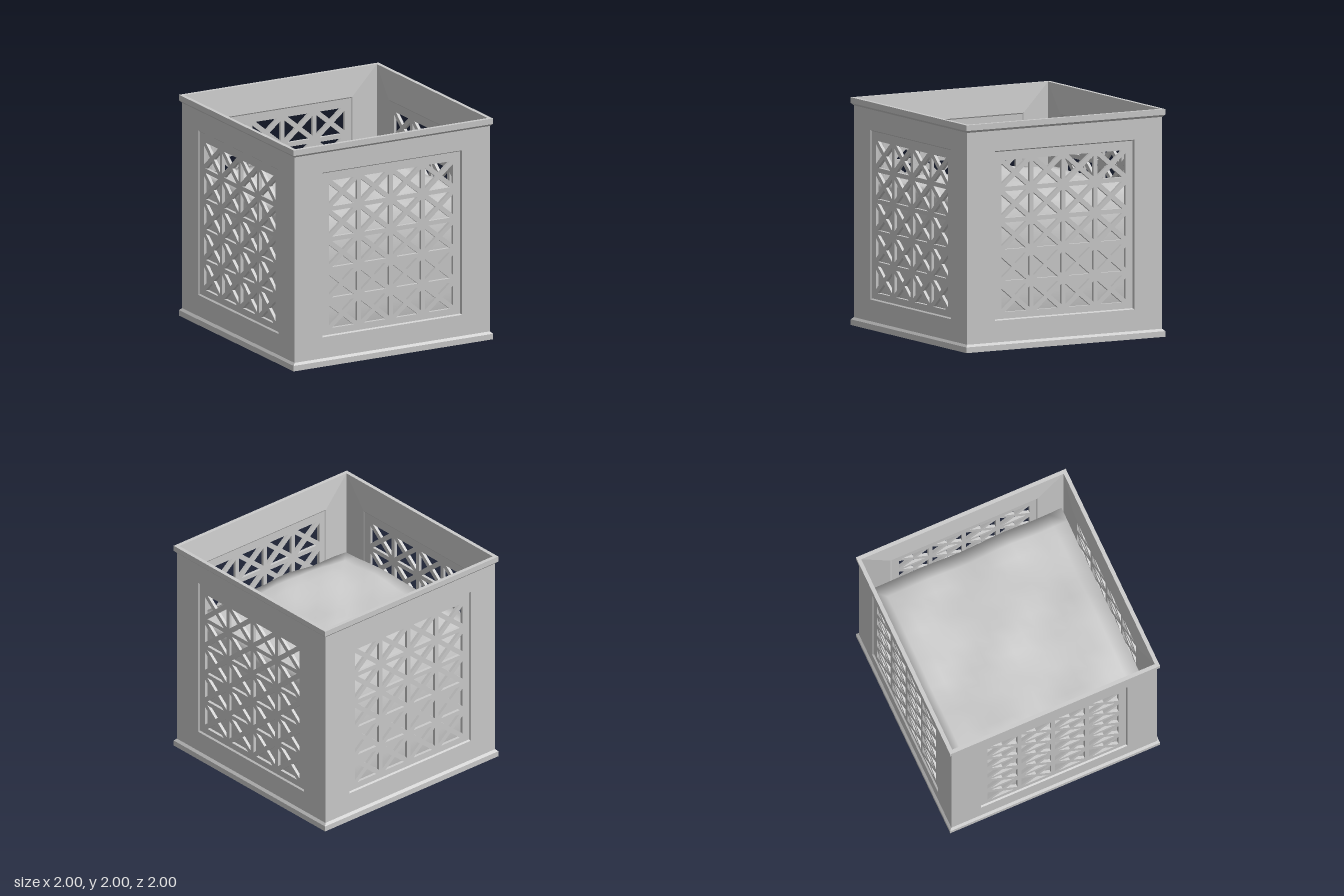
import * as THREE from 'three';
import { mergeVertices } from 'three/addons/utils/BufferGeometryUtils.js';

const material = new THREE.MeshStandardMaterial({ color: 0xcccccc, side: THREE.DoubleSide });

function addMesh(parent, name, geometry) {
  const mesh = new THREE.Mesh(geometry, material);
  mesh.name = name;
  parent.add(mesh);
  return mesh;
}

// Joins successive four-cornered rings with flat faces
function loftRings(rings, flip = false) {
  const positions = [];
  for (let r = 0; r < rings.length - 1; r++) {
    for (let i = 0; i < 4; i++) {
      const j = (i + 1) % 4;
      const a = rings[r][i], b = rings[r][j], c = rings[r + 1][j], d = rings[r + 1][i];
      const corners = flip ? [a, c, b, a, d, c] : [a, b, c, a, c, d];
      corners.forEach((p) => positions.push(...p));
    }
  }
  const geometry = new THREE.BufferGeometry();
  geometry.setAttribute('position', new THREE.Float32BufferAttribute(positions, 3));
  geometry.computeVertexNormals();
  return geometry;
}

// Horizontal square ring, and upright rectangular ring facing +z
const square = (h, y) => [[-h, y, h], [h, y, h], [h, y, -h], [-h, y, -h]];
const upright = (h, y0, y1, z) => [[-h, y0, z], [h, y0, z], [h, y1, z], [-h, y1, z]];

// Pierced panel: 4 x 5 cells, each with four triangles around a diagonal cross
function latticeGeometry() {
  const shape = new THREE.Shape([[-0.7, 0.26], [0.7, 0.26], [0.7, 1.75], [-0.7, 1.75]]
    .map(([x, y]) => new THREE.Vector2(x, y)));
  const w = 0.141, h = 0.1175, bar = 0.0215;
  const length = Math.hypot(w, h);
  const dx = bar * length / h, dy = bar * length / w;
  const triangles = [
    [[-w + dx, h], [w - dx, h], [0, dy]],
    [[-w + dx, -h], [w - dx, -h], [0, -dy]],
    [[-w, -h + dy], [-w, h - dy], [-dx, 0]],
    [[w, -h + dy], [w, h - dy], [dx, 0]],
  ];
  for (let col = 0; col < 4; col++) {
    for (let row = 0; row < 5; row++) {
      const cx = -0.004 + (col - 1.5) * 0.3215, cy = 0.445 + row * 0.275;
      for (const t of triangles) {
        shape.holes.push(new THREE.Path(t.map(([x, y]) => new THREE.Vector2(cx + x, cy + y))));
      }
    }
  }
  return new THREE.ExtrudeGeometry(shape, { depth: 0.027, bevelEnabled: false }).translate(0, 0, 0.938);
}

// Soil block with an uneven, softly shaded top
function soilGeometry() {
  let geometry = new THREE.BoxGeometry(1.85, 1.2, 1.85, 14, 3, 14);
  geometry.deleteAttribute('normal');
  geometry.deleteAttribute('uv');
  geometry = mergeVertices(geometry.translate(0, 0.67, 0));
  const p = geometry.attributes.position;
  for (let i = 0; i < p.count; i++) {
    const x = p.getX(i), y = p.getY(i), z = p.getZ(i);
    if (y < 1.26) continue;
    const bump = Math.sin(5.1 * x + 2.3 * z + 0.7) * 0.014
      + Math.sin(7.3 * z - 3.1 * x + 1.9) * 0.012
      + Math.sin(11.7 * x + 1.2) * Math.cos(9.3 * z) * 0.013;
    const edge = Math.max(Math.abs(x), Math.abs(z)) > 0.9 ? -0.012 : 0.012;
    p.setY(i, 1.28 + bump + edge);
  }
  geometry.computeVertexNormals();
  return geometry;
}

export function createModel() {
  const group = new THREE.Group();
  group.name = 'latticePlanter';

  // Base moulding with a recessed underside, and the top rim
  addMesh(group, 'base', loftRings([
    square(0, 0.05), square(0.65, 0.05), square(0.65, 0), square(1, 0), square(1, 0.05), square(0.98, 0.07),
  ]));
  addMesh(group, 'topRim', loftRings([
    square(0.98, 1.93), square(1, 1.95), square(1, 2), square(0.965, 2),
  ]));

  // Four walls, each with an outer frame, an inner sloping frame and a lattice
  const outerFrame = loftRings([
    upright(0.98, 0.07, 1.93, 0.98), upright(0.7, 0.26, 1.75, 0.98), upright(0.69, 0.27, 1.74, 0.965),
  ]);
  const innerFrame = loftRings([
    upright(0.965, 0.07, 2, 0.965), upright(0.7, 0.26, 1.75, 0.932), upright(0.69, 0.27, 1.74, 0.938),
  ], true);
  const lattice = latticeGeometry();
  for (let i = 0; i < 4; i++) {
    const wall = new THREE.Group();
    wall.name = ['frontWall', 'leftWall', 'backWall', 'rightWall'][i];
    wall.rotation.y = i * Math.PI / 2;
    addMesh(wall, 'outerFrame', outerFrame);
    addMesh(wall, 'innerFrame', innerFrame);
    addMesh(wall, 'lattice', lattice);
    group.add(wall);
  }

  addMesh(group, 'soil', soilGeometry());
  return group;
}
